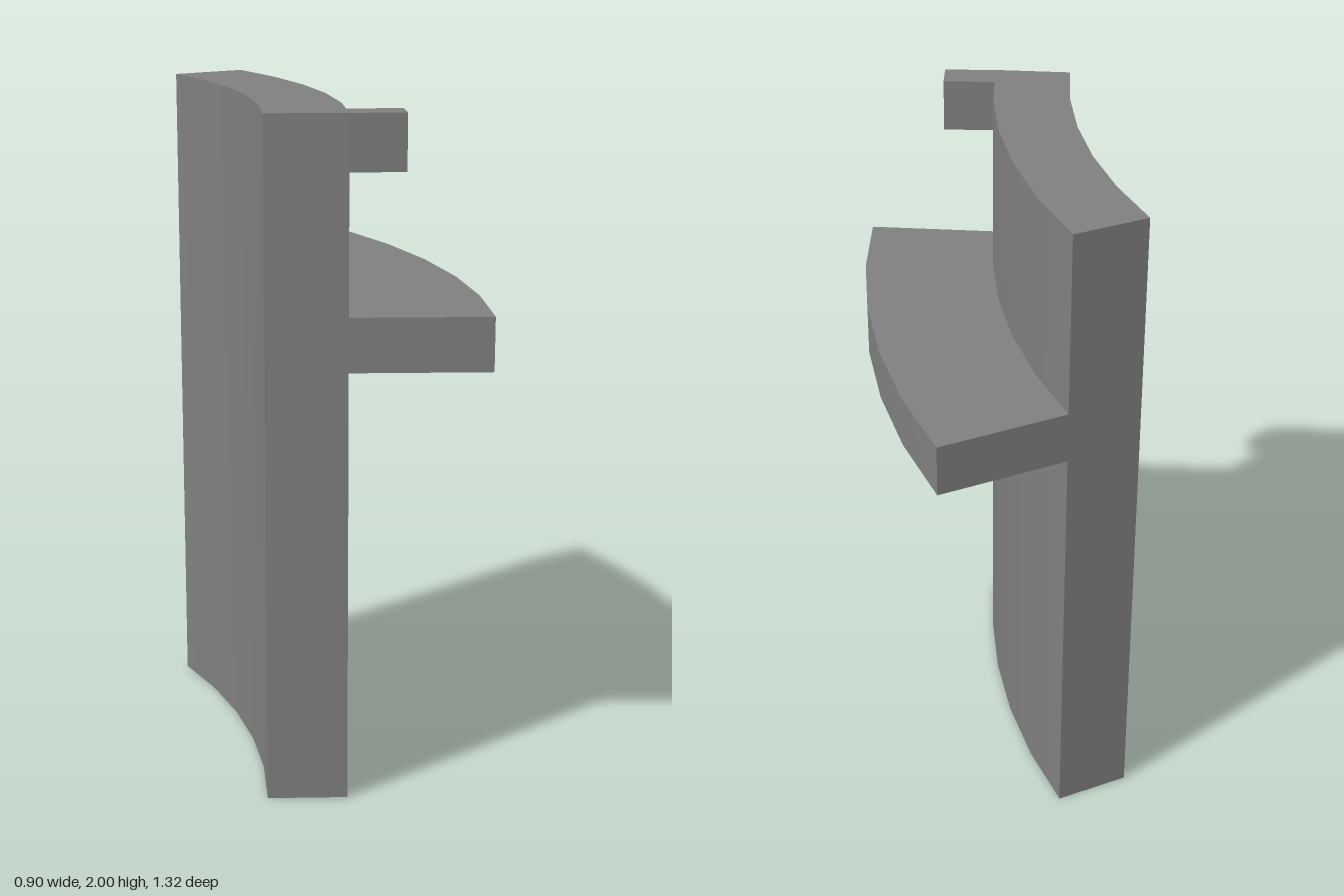
import * as THREE from 'three';
import { toCreasedNormals } from 'three/addons/utils/BufferGeometryUtils.js';

// Centre of curvature in plan (x, z)
const CX = -2.185, CZ = 0.66;
const SWEEP = Math.PI / 6, STEPS = 5;

// Extrude a plan outline of [x, z] points between two heights
function slab(points, y0, y1) {
  const shape = new THREE.Shape(points.map(([x, z]) => new THREE.Vector2(x, -z)));
  const geo = new THREE.ExtrudeGeometry(shape, { depth: y1 - y0, bevelEnabled: false });
  geo.rotateX(-Math.PI / 2);
  geo.translate(0, y0, 0);
  return toCreasedNormals(geo, Math.PI / 6);
}

// Plan outline of a ring sector between two radii
function sector(r0, r1) {
  const arc = (r) => Array.from({ length: STEPS + 1 }, (_, i) => {
    const a = (SWEEP * i) / STEPS;
    return [CX + r * Math.cos(a), CZ - r * Math.sin(a)];
  });
  return [...arc(r1), ...arc(r0).reverse()];
}

export function createModel() {
  const group = new THREE.Group();
  group.name = 'curvedWallSegment';
  const grey = new THREE.MeshStandardMaterial({ color: 0x808080 });
  grey.name = 'grey';

  const add = (name, geo) => {
    const mesh = new THREE.Mesh(geo, grey);
    mesh.name = name;
    group.add(mesh);
  };

  // Tall curved panel
  add('wall', slab(sector(2.0, 2.233), 0, 2));
  // Ledge along the convex side
  add('ledge', slab(sector(2.233, 2.637), 1.283, 1.44));
  // Small block at the top front corner
  add('topTab', slab([[0.047, 0.659], [0.205, 0.651], [0.2, 0.555], [0.043, 0.563]], 1.84, 2));

  return group;
}
